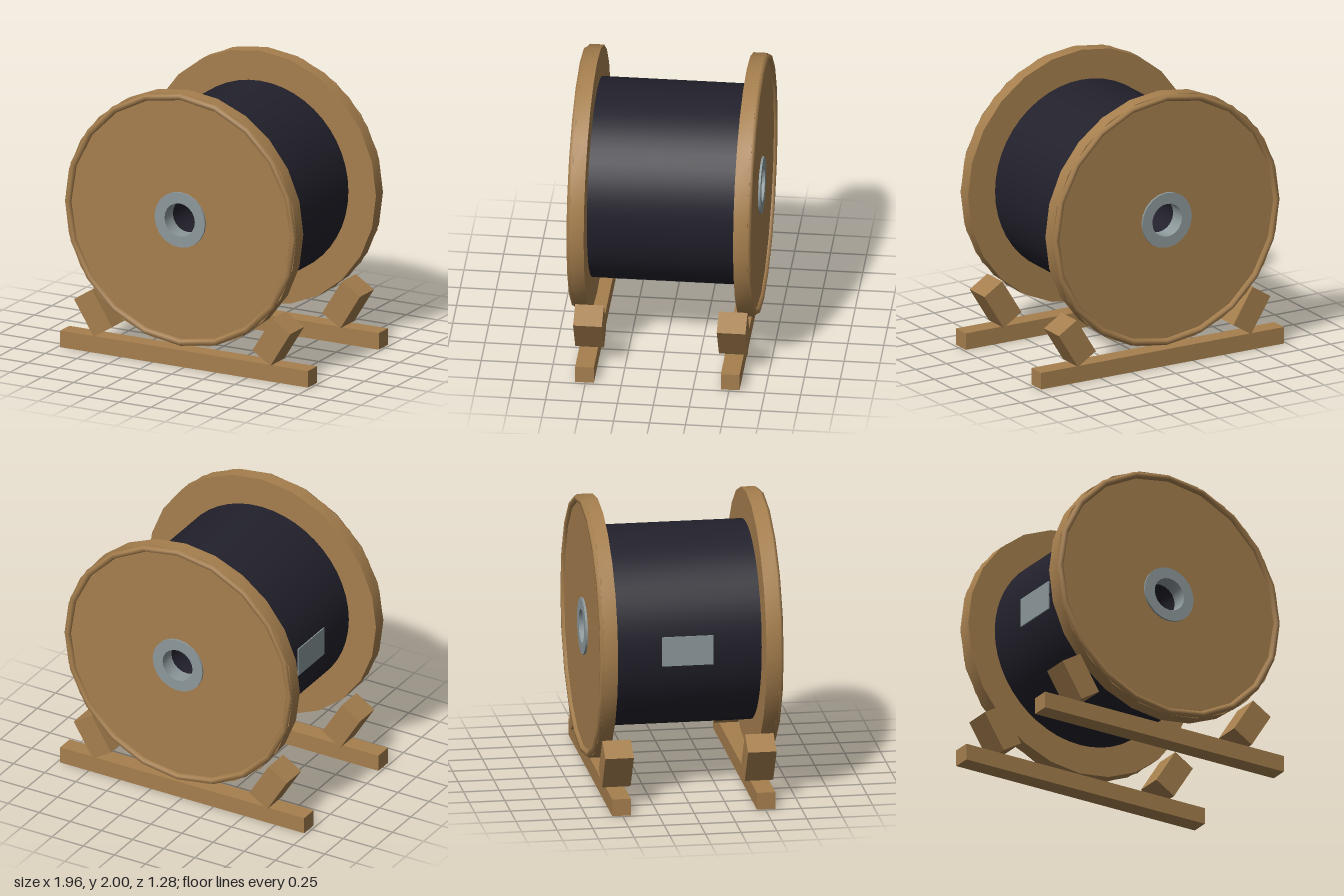
import * as THREE from 'three';
import { toCreasedNormals } from 'three/addons/utils/BufferGeometryUtils.js';

const AXLE_Y = 1.085;

// Ring with a rectangular section, turned around the z axis
function ring(inner, outer, z0, z1, segments) {
  const profile = [[inner, z0], [outer, z0], [outer, z1], [inner, z1], [inner, z0]]
    .map(([r, z]) => new THREE.Vector2(r, z));
  const geo = new THREE.LatheGeometry(profile, segments);
  geo.rotateX(Math.PI / 2);
  return toCreasedNormals(geo, 0.6);
}

export function createModel() {
  const model = new THREE.Group();
  model.name = 'cableReel';

  const material = (name, color) => {
    const m = new THREE.MeshStandardMaterial({ color });
    m.name = name;
    return m;
  };
  const wood = material('wood', 0xa67f4e);
  const cable = material('darkCable', 0x22212c);
  const steel = material('greySteel', 0x8d999c);

  const add = (parent, name, geo, mat, x = 0, y = 0, z = 0) => {
    const mesh = new THREE.Mesh(geo, mat);
    mesh.name = name;
    mesh.position.set(x, y, z);
    parent.add(mesh);
    return mesh;
  };

  // Reel: cable drum with a flange, rim and hub at each end
  const reel = new THREE.Group();
  reel.name = 'reel';
  reel.position.y = AXLE_Y;
  model.add(reel);

  add(reel, 'cableDrum', ring(0.125, 0.697, -0.525, 0.525, 48), cable);
  add(reel, 'labelPlate', new THREE.BoxGeometry(0.008, 0.21, 0.36), steel, -0.698, 0, 0);

  const flangeGeo = ring(0.13, 0.915, 0.52, 0.62, 24);
  const rimGeo = new THREE.TorusGeometry(0.89, 0.025, 6, 20);
  const hubGeo = ring(0.12, 0.2, 0.515, 0.635, 20);
  for (const [side, turn] of [['front', 0], ['back', Math.PI]]) {
    const end = new THREE.Group();
    end.name = side + 'End';
    end.rotation.y = turn;
    reel.add(end);
    add(end, side + 'Flange', flangeGeo, wood);
    add(end, side + 'Rim', rimGeo, wood, 0, 0, 0.62);
    add(end, side + 'Hub', hubGeo, steel);
  }

  // Cradle: two rails, each with a pair of tilted chocks
  const railGeo = new THREE.BoxGeometry(1.96, 0.12, 0.13);
  const chockGeo = new THREE.BoxGeometry(0.17, 0.295, 0.2);
  for (const [side, sz] of [['front', 1], ['back', -1]]) {
    add(model, side + 'Rail', railGeo, wood, 0, 0.06, sz * 0.507);
    for (const [hand, sx] of [['Left', 1], ['Right', -1]]) {
      const chock = add(model, side + hand + 'Chock', chockGeo, wood, sx * 0.705, 0.295, sz * 0.5);
      chock.rotation.z = -sx * 0.555;
    }
  }

  return model;
}
